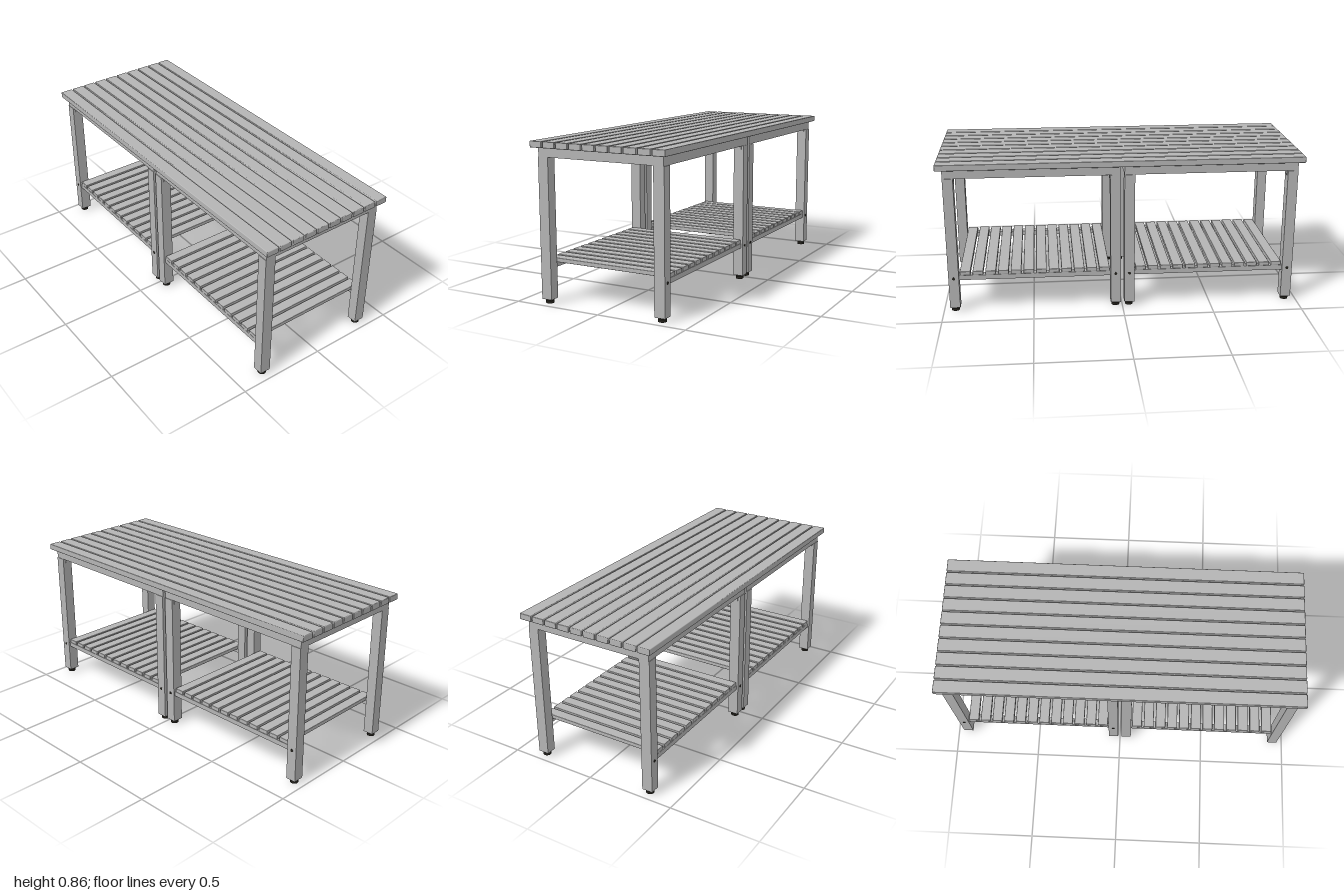
import * as THREE from 'three';
import { RoundedBoxGeometry } from 'three/addons/geometries/RoundedBoxGeometry.js';

const grey = new THREE.MeshStandardMaterial({ color: 0xb4b4b4 });
grey.name = 'grey';
const black = new THREE.MeshStandardMaterial({ color: 0x24221c });
black.name = 'black';

function add(parent, name, geometry, material, x, y, z) {
  const mesh = new THREE.Mesh(geometry, material);
  mesh.name = name;
  mesh.position.set(x, y, z);
  parent.add(mesh);
  return mesh;
}

// box given by its limits on each axis
function box(parent, name, [x0, x1], [y0, y1], [z0, z1], round = 0) {
  const size = [x1 - x0, y1 - y0, z1 - z0];
  const geometry = round ? new RoundedBoxGeometry(...size, 2, round) : new THREE.BoxGeometry(...size);
  return add(parent, name, geometry, grey, (x0 + x1) / 2, (y0 + y1) / 2, (z0 + z1) / 2);
}

const HALF = 0.478;   // half the length of one frame
const LEG = 0.057;    // leg width
const DEPTH = 0.369;  // half depth over the legs
const LEG_TOP = 0.773;
const FRAME_TOP = 0.822;

function makeLeg(sx, sz, hasBolt) {
  const leg = new THREE.Group();
  leg.name = 'leg';
  const x = sx * (HALF - LEG / 2);
  const z = sz * (DEPTH - 0.03);
  add(leg, 'legPost', new THREE.BoxGeometry(LEG, LEG_TOP - 0.023, 0.06), grey, x, (LEG_TOP + 0.023) / 2, z);
  // adjustable foot
  add(leg, 'footPad', new THREE.CylinderGeometry(0.022, 0.022, 0.014, 20), black, x, 0.007, z);
  add(leg, 'footStem', new THREE.CylinderGeometry(0.011, 0.011, 0.012, 12), black, x, 0.019, z);
  // corner bracket below the rail
  const inner = sx * (HALF - LEG);
  add(leg, 'bracketTop', new THREE.BoxGeometry(0.025, 0.004, 0.03), grey, inner - sx * 0.0125, LEG_TOP - 0.002, z);
  add(leg, 'bracketSide', new THREE.BoxGeometry(0.004, 0.028, 0.03), grey, inner - sx * 0.002, LEG_TOP - 0.014, z);
  if (hasBolt) {
    const bolt = add(leg, 'bolt', new THREE.CylinderGeometry(0.008, 0.008, 0.004, 12), black, x, 0.198, sz * DEPTH);
    bolt.rotation.x = Math.PI / 2;
  }
  return leg;
}

function makeBay(frontBolts) {
  const bay = new THREE.Group();
  const inner = HALF - LEG;
  for (const s of [-1, 1]) {
    for (const t of [-1, 1]) bay.add(makeLeg(s, t, t < 0 || frontBolts));
    // top frame
    add(bay, 'longRail', new THREE.BoxGeometry(HALF * 2, FRAME_TOP - LEG_TOP, 0.045), grey,
      0, (FRAME_TOP + LEG_TOP) / 2, s * 0.3435);
    add(bay, 'crossRail', new THREE.BoxGeometry(0.045, FRAME_TOP - LEG_TOP, 0.642), grey,
      s * (HALF - 0.0225), (FRAME_TOP + LEG_TOP) / 2, 0);
    // shelf rail
    add(bay, 'shelfRail', new THREE.BoxGeometry(inner * 2, 0.027, 0.04), grey, 0, 0.1995, s * 0.34);
  }
  // shelf slats
  const count = 12, width = 0.058, span = inner * 2 - 0.012;
  const pitch = (span - width) / (count - 1);
  for (let i = 0; i < count; i++) {
    const x = -span / 2 + i * pitch;
    box(bay, 'shelfSlat', [x, x + width], [0.213, 0.236], [-0.36, 0.36], 0.003);
  }
  return bay;
}

export function createModel() {
  const bench = new THREE.Group();
  bench.name = 'slattedBench';

  // two separate frames side by side
  for (const s of [-1, 1]) {
    const bay = makeBay(s < 0);
    bay.name = s < 0 ? 'rightFrame' : 'leftFrame';
    bay.position.x = s * (HALF + 0.01) - 0.001;
    bench.add(bay);
  }

  // long slats of the top
  const width = 0.072, pitch = 0.0794;
  for (let i = 0; i < 10; i++) {
    const z = (i - 4.5) * pitch;
    box(bench, 'topSlat', [-1, 1], [0.823, 0.857], [z - width / 2, z + width / 2], 0.004);
  }
  return bench;
}
